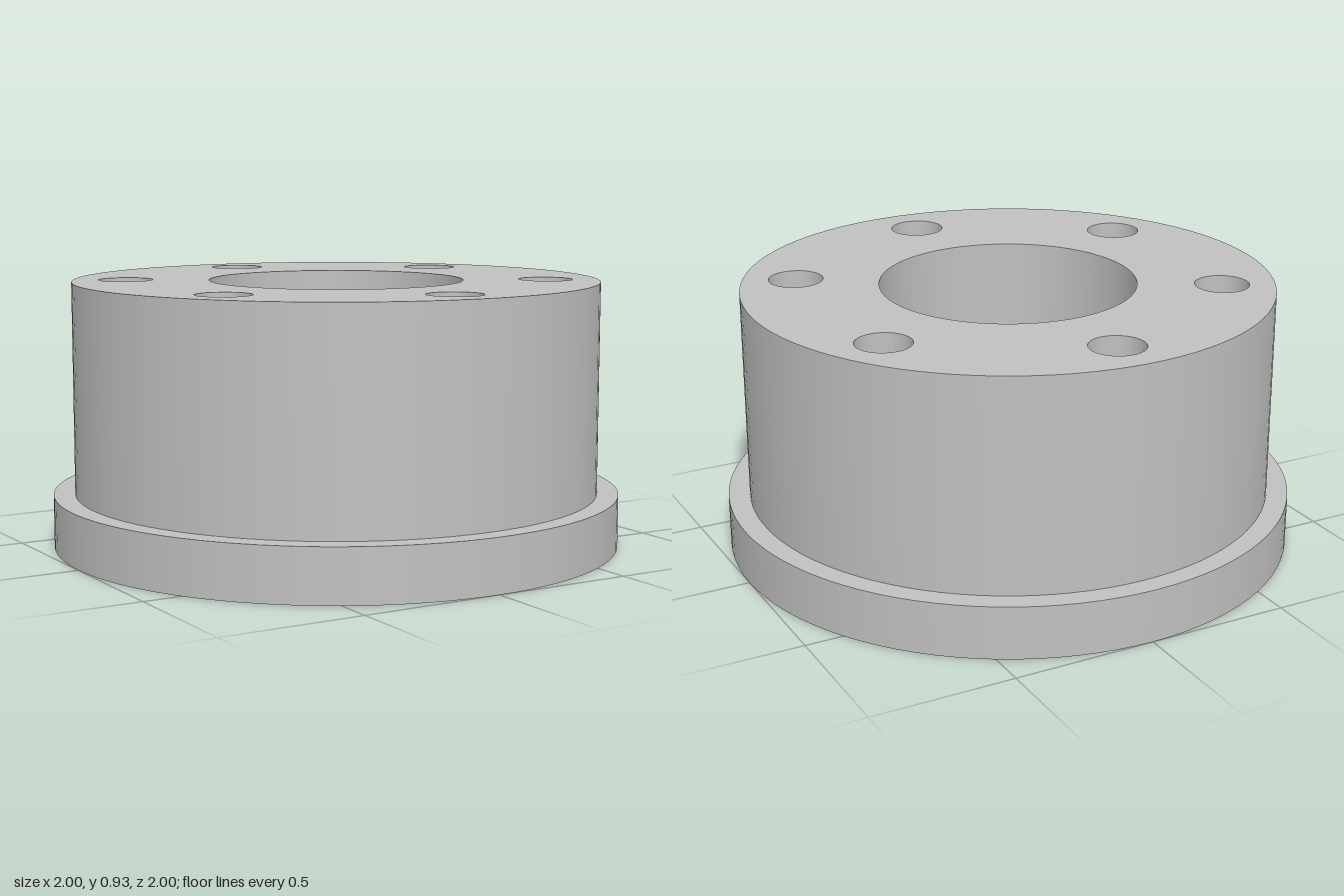
import * as THREE from 'three';

const FLANGE_R = 1, BODY_R = 0.925, BORE_R = 0.447;
const LEDGE_Y = 0.186, TOP_Y = 0.93;
const HOLE_R = 0.095, HOLE_CIRCLE = 0.74, HOLE_COUNT = 6;
const SEGMENTS = 96;

// Centres of the bolt holes, the first one on the z axis
const holeCentres = Array.from({ length: HOLE_COUNT }, (_, i) => {
  const a = Math.PI / 2 + (i * 2 * Math.PI) / HOLE_COUNT;
  return [HOLE_CIRCLE * Math.cos(a), HOLE_CIRCLE * Math.sin(a)];
});

// Round wall: faces outward when built upward, inward when built downward
function wall(radius, yStart, yEnd) {
  const profile = [new THREE.Vector2(radius, yStart), new THREE.Vector2(radius, yEnd)];
  return new THREE.LatheGeometry(profile, SEGMENTS);
}

// Flat disc at height y with round holes, each given as [x, z, radius]
function plate(radius, holes, y, facing) {
  const shape = new THREE.Shape();
  shape.absarc(0, 0, radius, 0, Math.PI * 2, false);
  for (const [x, z, r] of holes) {
    const hole = new THREE.Path();
    hole.absarc(x, z, r, 0, Math.PI * 2, true);
    shape.holes.push(hole);
  }
  return new THREE.ShapeGeometry(shape, SEGMENTS / 2)
    .rotateX((-facing * Math.PI) / 2)
    .translate(0, y, 0);
}

export function createModel() {
  const metal = new THREE.MeshStandardMaterial({ color: 0xc0c0c0 });
  metal.name = 'grey metal';

  const model = new THREE.Group();
  model.name = 'flangedBushing';
  const add = (name, geometry) => {
    const mesh = new THREE.Mesh(geometry, metal);
    mesh.name = name;
    model.add(mesh);
    return mesh;
  };

  const openings = [[0, 0, BORE_R], ...holeCentres.map(([x, z]) => [x, z, HOLE_R])];

  // Flange: underside, rim and the narrow ledge around the body
  add('flangeUnderside', plate(FLANGE_R, openings, 0, -1));
  add('flangeRim', wall(FLANGE_R, 0, LEDGE_Y));
  add('flangeLedge', plate(FLANGE_R, [[0, 0, BODY_R]], LEDGE_Y, 1));

  // Body: outer wall and top face
  add('bodyWall', wall(BODY_R, LEDGE_Y, TOP_Y));
  add('bodyTop', plate(BODY_R, openings, TOP_Y, 1));

  // Centre bore and bolt holes run right through
  add('centreBore', wall(BORE_R, TOP_Y, 0));
  const holeWall = wall(HOLE_R, TOP_Y, 0);
  holeCentres.forEach(([x, z], i) => add(`boltHole${i + 1}`, holeWall).position.set(x, 0, z));

  return model;
}
